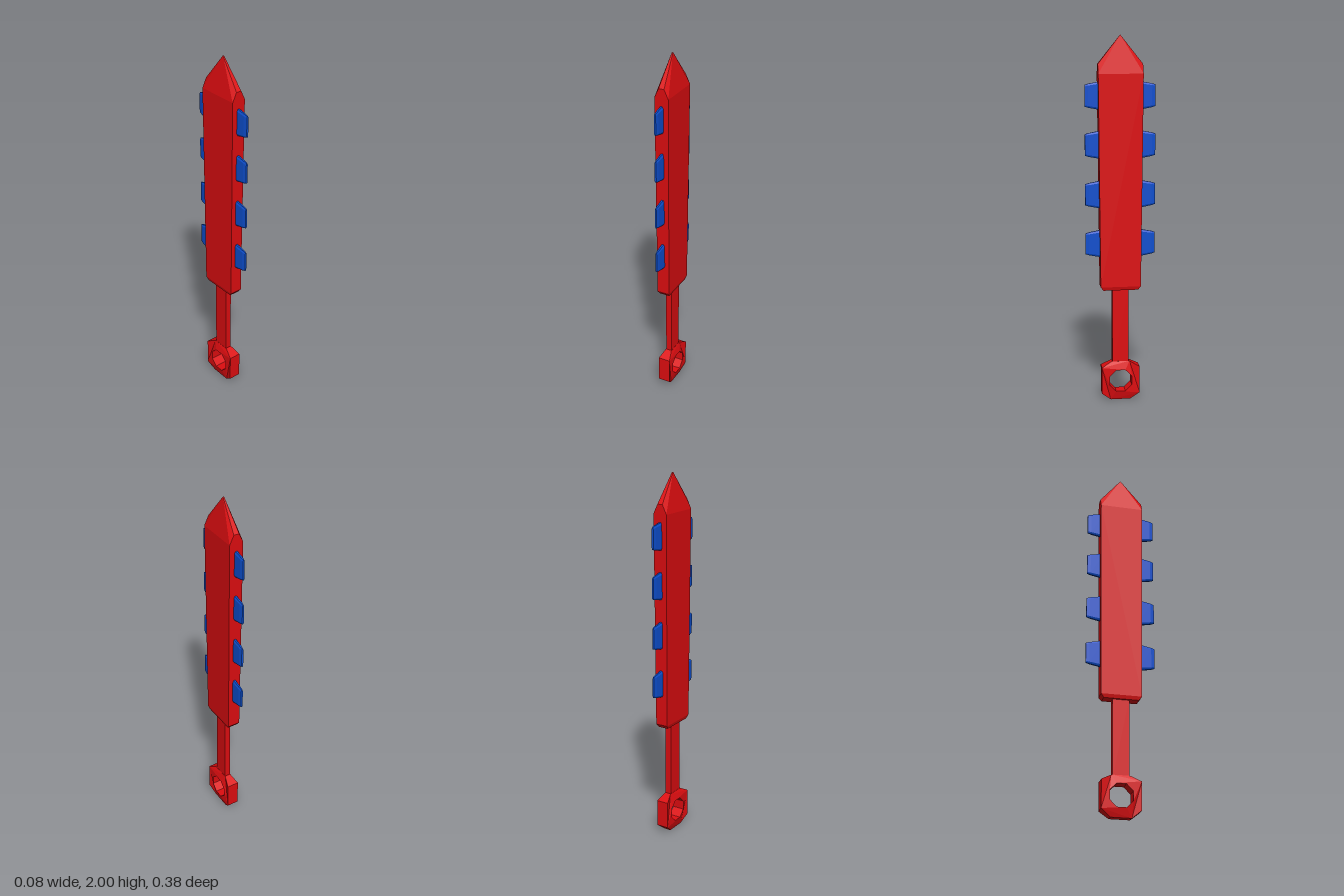
import * as THREE from 'three';
import { ConvexGeometry } from 'three/addons/geometries/ConvexGeometry.js';

const red = new THREE.MeshStandardMaterial({ color: 0xdd0d10 });
const blue = new THREE.MeshStandardMaterial({ color: 0x0d4fcf });

// Solid through points mirrored in x and z: each entry is [halfX, y, halfZ]
function mirroredSolid(levels) {
  const points = [];
  for (const [x, y, z] of levels)
    for (const sx of [-1, 1]) for (const sz of [-1, 1]) points.push(new THREE.Vector3(sx * x, y, sz * z));
  return new ConvexGeometry(points);
}

// Tapered tooth pointing to +z, an elongated octagon shrinking outwards
function toothGeometry() {
  const points = [];
  for (const [w, h, z] of [[0.011, 0.076, 0.1], [0.009, 0.063, 0.17], [0.005, 0.057, 0.189]])
    for (const sx of [-1, 1]) for (const sy of [-1, 1]) {
      points.push(new THREE.Vector3(sx * w, sy * h * 0.85, z));
      points.push(new THREE.Vector3(sx * w * 0.5, sy * h, z));
    }
  return new ConvexGeometry(points);
}

// Pommel plate with an octagonal hole, thinner at its top and bottom
function pommelGeometry() {
  const half = [[0.055, 0], [0.105, 0.04], [0.105, 0.19], [0.05, 0.22]];
  const outline = [...half, ...half.map(([z, y]) => [-z, y]).reverse()];
  const shape = new THREE.Shape(outline.map(([z, y]) => new THREE.Vector2(z, y)));
  const hole = [];
  for (let i = 0; i < 8; i++) {
    const a = -((i + 0.5) * Math.PI) / 4;
    hole.push(new THREE.Vector2(0.066 * Math.cos(a), 0.112 + 0.066 * Math.sin(a)));
  }
  shape.holes.push(new THREE.Path(hole));
  const geometry = new THREE.ExtrudeGeometry(shape, { depth: 2, bevelEnabled: false });
  geometry.translate(0, 0, -1).rotateY(-Math.PI / 2);
  const p = geometry.attributes.position;
  for (let i = 0; i < p.count; i++) {
    const y = p.getY(i);
    const halfWidth = y > 0.2 ? 0.018 : y < 0.03 ? 0.02 : 0.034;
    p.setX(i, Math.sign(p.getX(i)) * halfWidth);
  }
  geometry.computeVertexNormals();
  return geometry;
}

export function createModel() {
  const group = new THREE.Group();
  const add = (name, geometry, material) => {
    const mesh = new THREE.Mesh(geometry, material);
    mesh.name = name;
    group.add(mesh);
    return mesh;
  };

  // Blade: bevelled foot, slight flare, faceted point
  add('blade', mirroredSolid([
    [0.029, 0.63, 0.095], [0.035, 0.65, 0.11], [0.039, 1.8, 0.12], [0.015, 1.85, 0.12], [0.003, 2, 0.001],
  ]), red);

  // Grip
  const grip = add('grip', new THREE.BoxGeometry(0.034, 0.44, 0.09), red);
  grip.position.y = 0.42;

  add('pommelRing', pommelGeometry(), red);

  // Teeth along both edges of the blade
  const tooth = toothGeometry();
  for (const y of [0.888, 1.157, 1.425, 1.685])
    for (const side of [0, 1]) {
      const mesh = add(side ? 'backTooth' : 'frontTooth', tooth, blue);
      mesh.position.y = y;
      mesh.rotation.y = side * Math.PI;
    }
  return group;
}
